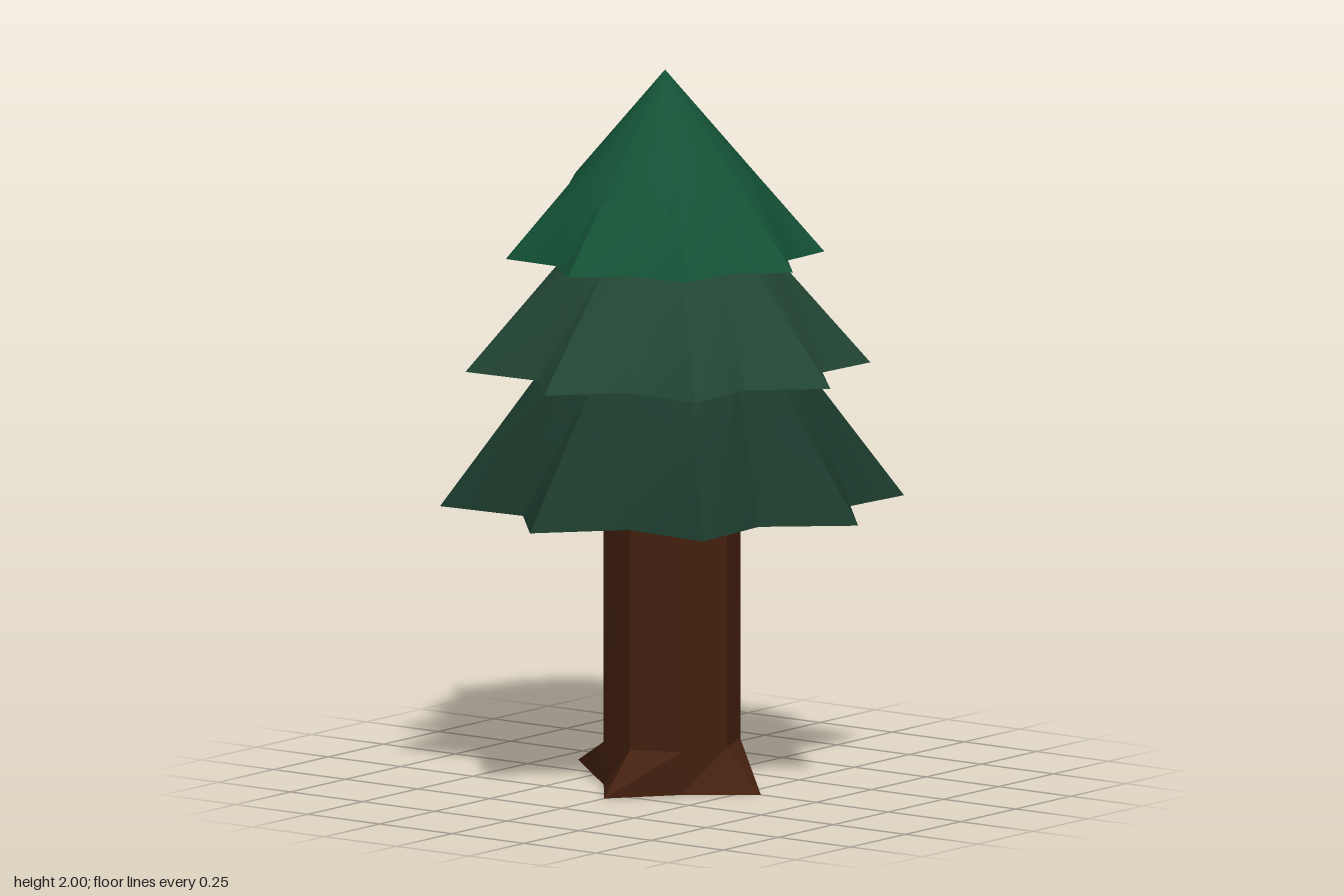
import * as THREE from 'three';
import { toCreasedNormals } from 'three/addons/utils/BufferGeometryUtils.js';

// Ring of points around the vertical axis; fn(i) gives [radius, height]
function ring(n, cx, cz, fn) {
  return Array.from({ length: n }, (_, i) => {
    const a = (i / n) * Math.PI * 2;
    const [r, y] = fn(i);
    return [cx + Math.sin(a) * r, y, cz + Math.cos(a) * r];
  });
}

// Skin stacked rings from bottom to top
function loft(rings, crease) {
  const n = rings[0].length;
  const index = [];
  for (let k = 0; k < rings.length - 1; k++) {
    for (let i = 0; i < n; i++) {
      const a = k * n + i, b = k * n + (i + 1) % n;
      index.push(a, b, b + n, a, b + n, a + n);
    }
  }
  const g = new THREE.BufferGeometry();
  g.setAttribute('position', new THREE.Float32BufferAttribute(rings.flat(2), 3));
  g.setIndex(index);
  return toCreasedNormals(g, crease);
}

// Downward-facing cap
function underside(points, cx, y, cz) {
  const n = points.length;
  const index = [];
  for (let i = 0; i < n; i++) index.push(n, (i + 1) % n, i);
  const g = new THREE.BufferGeometry();
  g.setAttribute('position', new THREE.Float32BufferAttribute([...points.flat(), cx, y, cz], 3));
  g.setIndex(index);
  const flat = g.toNonIndexed();
  flat.computeVertexNormals();
  return flat;
}

export function createModel() {
  const tree = new THREE.Group();
  tree.name = 'pineTree';
  const mat = (color) => new THREE.MeshStandardMaterial({ color });
  const bark = mat(0x44200f);
  const add = (name, geometry, material) => {
    const m = new THREE.Mesh(geometry, material);
    m.name = name;
    tree.add(m);
  };

  // Trunk: octagonal post flaring into four roots, one of them lifted
  const foot = ring(8, 0, 0, (i) => (i % 2 ? [0.19, 0] : i === 6 ? [0.325, 0.03] : [0.308, 0]));
  const trunkRing = (y) => ring(8, 0, 0, () => [0.19, y]);
  add('trunk', loft([foot, trunkRing(0.12), trunkRing(0.82)], 0.3), bark);
  add('trunkBase', underside(foot, 0, 0, 0), bark);

  // Foliage: eight-pointed skirts that round off towards a conical top
  const tiers = [
    { name: 'lowerFoliage', color: 0x1b3a2c, cx: 0, cz: 0, y: 0.79, tip: 0.645, notch: 0.475, midY: 1.17, midR: 0.36, top: 1.4, under: bark },
    { name: 'middleFoliage', color: 0x224634, cx: -0.005, cz: 0.012, y: 1.165, tip: 0.563, notch: 0.42, midY: 1.485, midR: 0.285, top: 1.75 },
    { name: 'upperFoliage', color: 0x145236, cx: -0.005, cz: 0.025, y: 1.48, tip: 0.443, notch: 0.345, midY: 1.7, midR: 0.255, top: 2 },
  ];
  for (const t of tiers) {
    const leaf = mat(t.color);
    const star = ring(16, t.cx, t.cz, (i) => [i % 2 ? t.notch : t.tip, t.y]);
    const shoulder = ring(16, t.cx, t.cz, () => [t.midR, t.midY]);
    const apex = ring(16, t.cx, t.cz, () => [0, t.top]);
    add(t.name, loft([star, shoulder, apex], 0.75), leaf);
    add(t.name + 'Underside', underside(star, t.cx, t.y, t.cz), t.under ?? leaf);
  }
  return tree;
}
